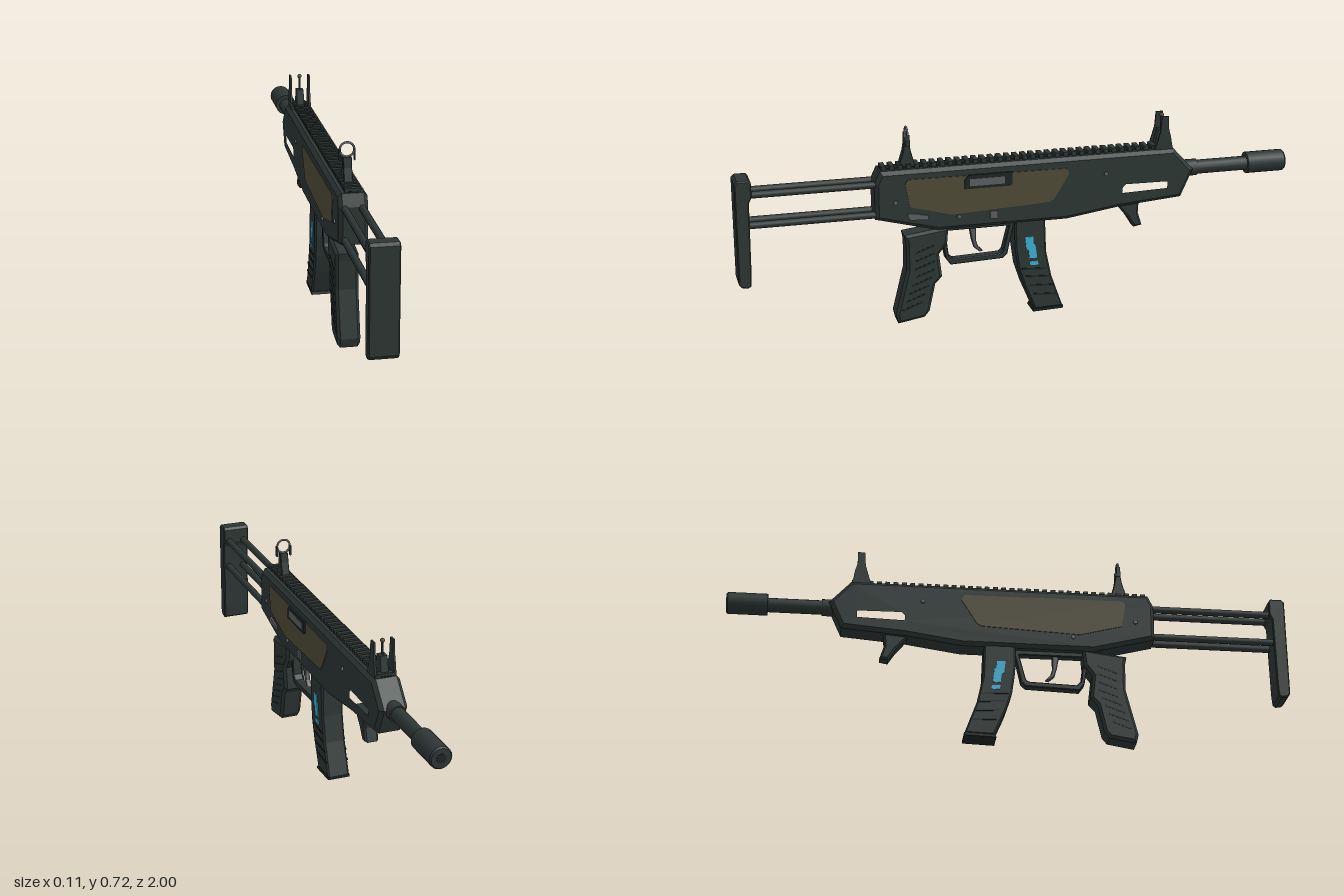
import * as THREE from 'three';

const mat = (name, color, double) => {
  const m = new THREE.MeshStandardMaterial({ color });
  m.name = name;
  if (double) m.side = THREE.DoubleSide;
  return m;
};

export function createModel() {
  const dark = mat('gunmetal', 0x2d3735);
  const black = mat('black', 0x1d2423);
  const tan = mat('olive tan', 0x504b38);
  const gray = mat('steel gray', 0x5d6062);
  const blue = mat('cyan', 0x3fb3d8);

  const root = new THREE.Group();
  root.name = 'model';
  root.position.x = -0.002;

  const add = (name, geo, material, x = 0, y = 0, z = 0) => {
    const m = new THREE.Mesh(geo, material);
    m.name = name;
    m.position.set(x, y, z);
    root.add(m);
    return m;
  };
  const box = (name, material, w, h, d, x, y, z) =>
    add(name, new THREE.BoxGeometry(w, h, d), material, x, y, z);
  // Cylinder lying along z
  const rod = (name, material, r1, r2, z1, z2, x, y, sides = 16) => {
    const g = new THREE.CylinderGeometry(r1, r2, Math.abs(z2 - z1), sides).rotateX(Math.PI / 2);
    return add(name, g, material, x, y, (z1 + z2) / 2);
  };
  // Side profile of [z, y] points, extruded across x with a chamfer
  const path = (pts) => pts.map(([z, y]) => new THREE.Vector2(-z, y));
  const slab = (name, material, pts, width, bevel = 0, x = 0, holes = []) => {
    const shape = new THREE.Shape(path(pts));
    holes.forEach((h) => shape.holes.push(new THREE.Path(path(h))));
    const g = new THREE.ExtrudeGeometry(shape, {
      depth: width - 2 * bevel, bevelEnabled: bevel > 0, bevelSize: bevel,
      bevelThickness: bevel, bevelOffset: -bevel, bevelSegments: 1,
    });
    g.translate(0, 0, -(width - 2 * bevel) / 2).rotateY(Math.PI / 2);
    return add(name, g, material, x);
  };

  // Receiver with a through slot near the muzzle end
  slab('receiver', dark, [
    [0.52, 0.53], [0.5, 0.572], [-0.565, 0.572], [-0.64, 0.49], [-0.595, 0.39],
    [-0.37, 0.372], [-0.17, 0.343], [0.3, 0.343], [0.52, 0.4],
  ], 0.1, 0.013, 0, [
    [[-0.36, 0.412], [-0.36, 0.452], [-0.38, 0.47], [-0.545, 0.468], [-0.555, 0.455], [-0.552, 0.417]],
  ]);

  // Top rail with teeth
  box('railBase', black, 0.04, 0.008, 1.06, 0, 0.573, -0.035);
  for (let i = 0; i < 36; i++) {
    box('railTooth', dark, 0.052, 0.014, 0.017, 0, 0.579, 0.485 - i * 0.0297);
  }

  // Telescoping stock: four rods and a butt plate
  for (const x of [-0.029, 0.029]) {
    for (const y of [0.524, 0.415]) rod('stockRod', dark, 0.0125, 0.0125, 0.49, 0.96, x, y, 12);
  }
  slab('buttPlate', dark, [
    [0.99, 0.58], [0.95, 0.58], [0.942, 0.57], [0.942, 0.52], [0.952, 0.5], [0.955, 0.24],
    [0.958, 0.2], [0.968, 0.193], [0.99, 0.197], [1, 0.21], [1, 0.57],
  ], 0.1, 0.004);

  // Barrel and muzzle
  rod('barrel', dark, 0.0255, 0.0255, -0.6, -0.86, 0, 0.484);
  rod('barrelCollar', dark, 0.03, 0.03, -0.6, -0.665, 0, 0.484);
  rod('muzzle', dark, 0.039, 0.039, -0.855, -0.994, 0, 0.485, 20);
  rod('muzzleRim', dark, 0.039, 0.034, -0.994, -1, 0, 0.485, 20);
  rod('muzzleBore', black, 0.017, 0.017, -0.99, -1.001, 0, 0.485, 16);

  // Pistol grip with diagonal ribs
  slab('pistolGrip', dark, [
    [0.418, 0.33], [0.26, 0.35], [0.265, 0.29], [0.295, 0.25], [0.285, 0.165], [0.31, 0.14],
    [0.332, 0.04], [0.35, 0.018], [0.445, 0.002], [0.453, 0.035], [0.412, 0.2], [0.412, 0.3],
  ], 0.08, 0.01);
  for (let i = 0; i < 8; i++) {
    const y = 0.065 + i * 0.03;
    const rib = box('gripRib', black, 0.082, 0.006, 0.075, 0, y, 0.395 - Math.min(i, 4) * 0.012);
    rib.rotation.x = 0.35;
  }

  // Trigger guard and trigger
  slab('triggerGuard', dark, [
    [0.29, 0.35], [0.268, 0.225], [0.25, 0.2], [0.06, 0.207], [0.043, 0.222], [0.015, 0.35],
  ], 0.035, 0.003, 0, [
    [[0.268, 0.328], [0.256, 0.235], [0.24, 0.22], [0.07, 0.226], [0.06, 0.235], [0.036, 0.328]],
  ]);
  slab('trigger', gray, [
    [0.182, 0.345], [0.155, 0.345], [0.155, 0.28], [0.148, 0.258], [0.13, 0.238],
    [0.142, 0.236], [0.163, 0.254], [0.172, 0.285],
  ], 0.018, 0.003);

  // Curved magazine with base plate, grooves and cyan level marks
  slab('magazine', dark, [
    [0.022, 0.36], [-0.09, 0.36], [-0.095, 0.225], [-0.115, 0.13], [-0.157, 0.012],
    [-0.053, 0.008], [-0.014, 0.1], [0.009, 0.17], [0.02, 0.25],
  ], 0.08, 0.006);
  slab('magazineBase', black, [[-0.05, 0.01], [-0.046, 0], [-0.158, 0.004], [-0.158, 0.014]], 0.082);
  [[0.165, -0.05], [0.135, -0.062], [0.1, -0.077], [0.065, -0.092]].forEach(([y, z]) => {
    const groove = box('magazineRib', black, 0.084, 0.006, 0.09, 0, y, z);
    groove.rotation.x = -0.06;
  });
  for (const s of [-1, 1]) {
    const x = s * 0.041;
    slab('levelWindow', blue, [
      [-0.015, 0.288], [-0.045, 0.288], [-0.047, 0.26], [-0.053, 0.258], [-0.06, 0.207],
      [-0.032, 0.207], [-0.028, 0.24], [-0.02, 0.242],
    ], 0.004, 0, x);
    slab('levelMark', blue, [[-0.032, 0.195], [-0.062, 0.195], [-0.065, 0.18], [-0.035, 0.18]], 0.004, 0, x);
  }

  // Angled hand stop
  slab('handStop', dark, [
    [-0.35, 0.385], [-0.445, 0.39], [-0.442, 0.335], [-0.457, 0.288], [-0.427, 0.282], [-0.4, 0.325],
  ], 0.05, 0.007);

  // Side panels, pins and controls on both faces
  for (const s of [-1, 1]) {
    slab('sidePanel', tan, [
      [0.415, 0.525], [0.405, 0.54], [-0.165, 0.535], [-0.173, 0.515], [-0.118, 0.425],
      [-0.1, 0.416], [0.25, 0.4], [0.4, 0.44],
    ], 0.005, 0, s * 0.0502);
    for (const [z, y] of [[0.45, 0.46], [0.225, 0.39], [-0.31, 0.503]]) {
      const pin = add('pin', new THREE.CylinderGeometry(0.008, 0.008, 0.008, 10), gray, s * 0.0515, y, z);
      pin.rotation.z = Math.PI / 2;
    }
  }
  slab('ejectionFrame', black, [[0.205, 0.49], [0.205, 0.525], [0.19, 0.54], [0.035, 0.54], [0.035, 0.495], [0.045, 0.49]], 0.007, 0, 0.0535);
  box('ejectionPort', gray, 0.003, 0.026, 0.125, 0.0563, 0.513, 0.125);
  box('magazineRelease', gray, 0.009, 0.028, 0.028, 0.051, 0.387, 0.1);
  slab('selectorLever', gray, [[0.41, 0.413], [0.4, 0.418], [0.335, 0.405], [0.335, 0.39], [0.4, 0.393]], 0.01, 0, 0.051);

  // Rear sight: tapered post, ring and side brackets
  slab('rearSightPost', dark, [[0.43, 0.575], [0.37, 0.575], [0.385, 0.63], [0.391, 0.665], [0.407, 0.665], [0.413, 0.63]], 0.03, 0.002);
  add('rearSightRing', new THREE.TorusGeometry(0.0245, 0.0038, 8, 28), gray, 0, 0.69, 0.398);
  for (const s of [-1, 1]) box('rearSightBracket', dark, 0.005, 0.038, 0.014, s * 0.0255, 0.672, 0.398);

  // Front sight: two tapered ears and a tipped post
  for (const s of [-1, 1]) {
    slab('frontSightEar', dark, [
      [-0.494, 0.565], [-0.563, 0.565], [-0.553, 0.62], [-0.545, 0.65], [-0.545, 0.693], [-0.52, 0.693], [-0.516, 0.64],
    ], 0.007, 0, s * 0.0345);
  }
  box('frontSightBase', dark, 0.07, 0.014, 0.066, 0, 0.576, -0.528);
  slab('frontSightPost', dark, [[-0.5, 0.575], [-0.557, 0.575], [-0.543, 0.64], [-0.515, 0.64]], 0.026);
  box('frontSightPin', dark, 0.005, 0.05, 0.01, 0, 0.66, -0.53);
  add('frontSightBead', new THREE.SphereGeometry(0.008, 12, 8), tan, 0, 0.69, -0.53);

  return root;
}
